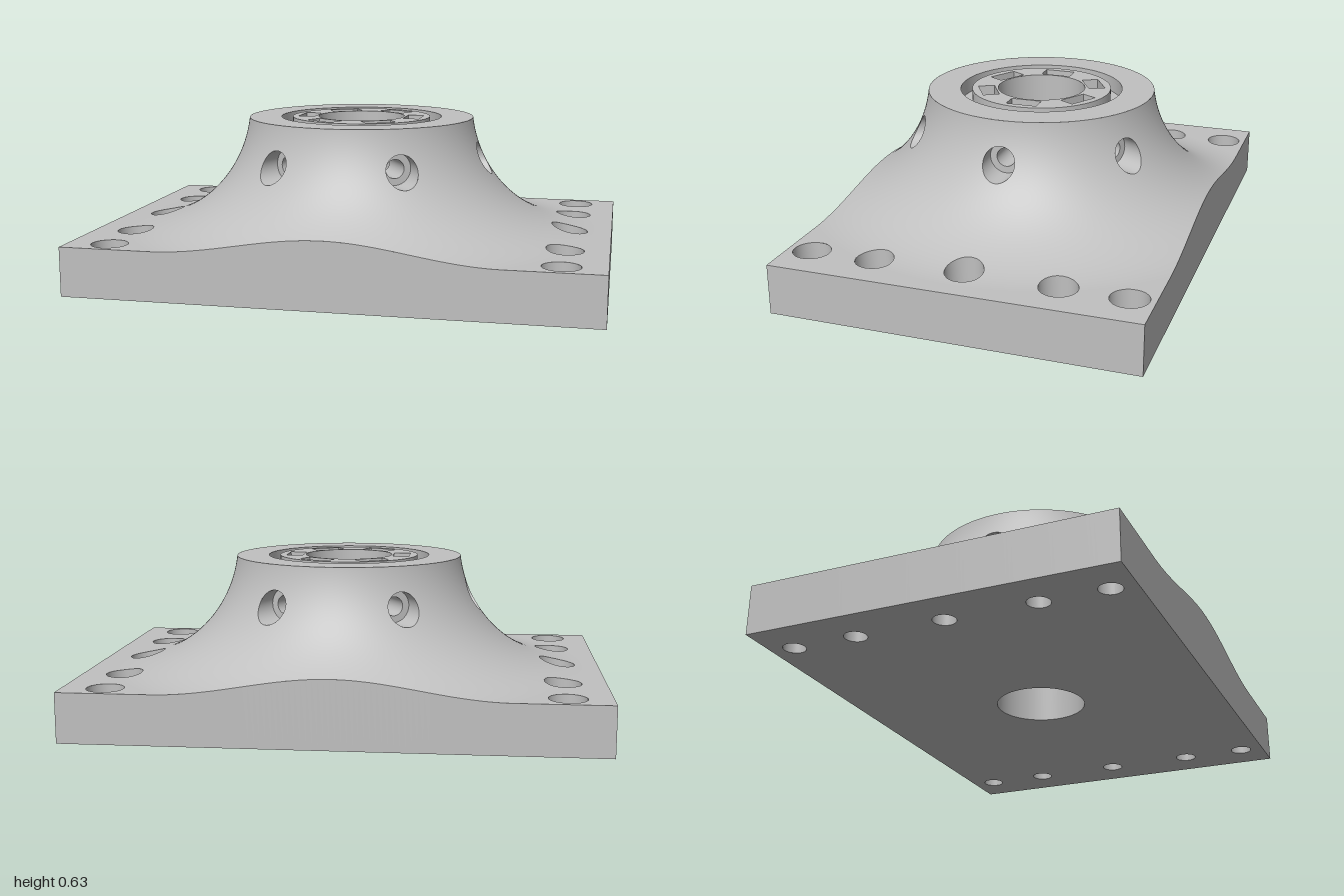
import * as THREE from 'three';

const HX = 1, HZ = 0.687, PLATE = 0.19;            // plate half sizes and thickness
const RHO = 0.5, CX = 0.943, CY = PLATE + RHO;      // fillet arc
const R_TOP = 0.447, BORE = 0.172;
const TOP = CY - Math.sqrt(RHO ** 2 - (CX - R_TOP) ** 2);
const BOLT_R = 0.07, BOLT_HOLE = 0.042, BOLT_FLOOR = 0.1;
const SIDE_Y = 0.472, SIDE_R = 0.062, SIDE_HOLE = 0.036, SIDE_FLOOR = 0.41;
const SLOT = { x0: 0.18, x1: 0.244, z: 0.06, y: 0.41 };
const TAU = Math.PI * 2;

const bolts = [];
for (const x of [-0.838, 0.838]) for (const z of [-0.595, -0.345, 0, 0.345, 0.595]) bolts.push([x, z]);

// height of the upper surface at a distance r from the axis, and the reverse
const height = r => r >= CX ? PLATE : CY - Math.sqrt(RHO ** 2 - (CX - r) ** 2);
const radiusAt = y => CX - Math.sqrt(RHO ** 2 - (CY - y) ** 2);

export function createModel() {
  const model = new THREE.Group();
  model.name = 'flangedHub';
  const grey = new THREE.MeshStandardMaterial({ color: 0xc0c0c0, side: THREE.DoubleSide });
  grey.name = 'plain grey';

  const add = (name, geometry, parent = model) => {
    const mesh = new THREE.Mesh(geometry, grey);
    mesh.name = name;
    parent.add(mesh);
    return mesh;
  };

  // strip between two curves a(u) and b(u)
  const loft = (n, a, b) => {
    const pos = [], index = [];
    for (let i = 0; i <= n; i++) {
      pos.push(...a(i / n), ...b(i / n));
      if (i < n) { const k = 2 * i; index.push(k, k + 2, k + 1, k + 2, k + 3, k + 1); }
    }
    const g = new THREE.BufferGeometry();
    g.setAttribute('position', new THREE.Float32BufferAttribute(pos, 3));
    g.setIndex(index);
    g.computeVertexNormals();
    return g;
  };
  // ring of revolution about a vertical axis at (cx, cz)
  const band = (rA, yA, rB, yB, cx = 0, cz = 0, n = 96) => {
    const c = (r, y) => u => [cx + r * Math.cos(u * TAU), y, cz + r * Math.sin(u * TAU)];
    return loft(n, c(rA, yA), c(rB, yB));
  };
  // ring of revolution about the x axis at the height of the side holes
  const sideBand = (rA, xA, rB, xB) => {
    const c = (r, x) => u => {
      const y = SIDE_Y + r * Math.cos(u * TAU), z = r * Math.sin(u * TAU);
      return [typeof x === 'function' ? x(y, z) : x, y, z];
    };
    return loft(48, c(rA, xA), c(rB, xB));
  };
  const quad = (a0, a1, b0, b1) => loft(1, u => (u ? a1 : a0), u => (u ? b1 : b0));
  const circle = (x, y, r) => new THREE.Path().absarc(x, y, r, 0, TAU, true);
  const rect = (Type, x0, y0, x1, y1, angle = 0) => new Type(
    [[x0, y0], [x1, y0], [x1, y1], [x0, y1]].map(([x, y]) =>
      new THREE.Vector2(x, y).rotateAround(new THREE.Vector2(), angle)));

  add('upperSurface', upperSurface());

  // plate edges, following the fillet where it runs out
  const edge = (name, x0, z0, x1, z1) => {
    const at = u => [x0 + (x1 - x0) * u, z0 + (z1 - z0) * u];
    add(name, loft(96,
      u => { const [x, z] = at(u); return [x, 0, z]; },
      u => { const [x, z] = at(u); return [x, height(Math.hypot(x, z)), z]; }));
  };
  edge('plateFront', -HX, HZ, HX, HZ);
  edge('plateBack', HX, -HZ, -HX, -HZ);
  edge('plateLeft', HX, HZ, HX, -HZ);
  edge('plateRight', -HX, -HZ, -HX, HZ);

  // underside with its holes
  const base = rect(THREE.Shape, -HX, -HZ, HX, HZ);
  base.holes.push(circle(0, 0, BORE), ...bolts.map(([x, z]) => circle(x, z, BOLT_HOLE)));
  add('underside', new THREE.ShapeGeometry(base, 48).rotateX(Math.PI / 2));

  // counterbored bolt holes
  for (const [x, z] of bolts) {
    const hole = new THREE.Group();
    hole.name = 'boltHole';
    model.add(hole);
    const rim = (u, y) => {
      const px = x + BOLT_R * Math.cos(u * TAU), pz = z + BOLT_R * Math.sin(u * TAU);
      return [px, y ?? height(Math.hypot(px, pz)), pz];
    };
    add('counterbore', loft(48, u => rim(u, BOLT_FLOOR), u => rim(u)), hole);
    add('counterboreFloor', band(BOLT_HOLE, BOLT_FLOOR, BOLT_R, BOLT_FLOOR, x, z, 48), hole);
    add('boltShaft', band(BOLT_HOLE, 0, BOLT_HOLE, BOLT_FLOOR, x, z, 48), hole);
  }

  // hub top: outer rim, ring groove, slotted inner face and bore
  const G0 = 0.275, G1 = 0.32, GY = TOP - 0.06;
  add('hubRim', band(G1, TOP, R_TOP, TOP));
  add('grooveOuterWall', band(G1, GY, G1, TOP));
  add('grooveFloor', band(G0, GY, G1, GY));
  add('grooveInnerWall', band(G0, TOP, G0, GY));
  add('bore', band(BORE, 0, BORE, TOP));
  const face = new THREE.Shape().absarc(0, 0, G0, 0, TAU, false);
  face.holes.push(circle(0, 0, BORE));
  for (let i = 0; i < 6; i++)
    face.holes.push(rect(THREE.Path, SLOT.x0, -SLOT.z, SLOT.x1, SLOT.z, i * TAU / 6));
  add('hubInnerFace', new THREE.ShapeGeometry(face, 96).rotateX(-Math.PI / 2).translate(0, TOP, 0));

  // six radial screw holes, each ending in a nut slot
  const { x0, x1, z: w, y: b } = SLOT;
  const outerWall = rect(THREE.Shape, -w, b, w, TOP);
  outerWall.holes.push(circle(0, SIDE_Y, SIDE_HOLE));
  const parts = {
    screwCounterbore: sideBand(SIDE_R, (y, z) => Math.sqrt(radiusAt(y) ** 2 - z * z), SIDE_R, SIDE_FLOOR),
    screwCounterboreFloor: sideBand(SIDE_R, SIDE_FLOOR, SIDE_HOLE, SIDE_FLOOR),
    screwShaft: sideBand(SIDE_HOLE, SIDE_FLOOR, SIDE_HOLE, x1),
    slotOuterWall: new THREE.ShapeGeometry(outerWall, 48).rotateY(-Math.PI / 2).translate(x1, 0, 0),
    slotInnerWall: quad([x0, b, w], [x0, b, -w], [x0, TOP, w], [x0, TOP, -w]),
    slotEndA: quad([x1, b, w], [x0, b, w], [x1, TOP, w], [x0, TOP, w]),
    slotEndB: quad([x0, b, -w], [x1, b, -w], [x0, TOP, -w], [x1, TOP, -w]),
    slotFloor: quad([x0, b, -w], [x0, b, w], [x1, b, -w], [x1, b, w]),
  };
  for (let i = 0; i < 6; i++) {
    const screw = new THREE.Group();
    screw.name = 'screwHoleAndSlot';
    screw.rotation.y = i * TAU / 6;
    for (const [name, g] of Object.entries(parts)) add(name, g, screw);
    model.add(screw);
  }
  return model;
}

// fillet and plate top: a polar grid trimmed by the plate outline and the holes
function upperSurface() {
  const keep = [
    ([x]) => HX - Math.abs(x),
    ([, z]) => HZ - Math.abs(z),
    ([x, z]) => Math.min(...bolts.map(([bx, bz]) => Math.hypot(x - bx, z - bz))) - BOLT_R,
    ([x, z]) => {
      const r = Math.hypot(x, z), a = Math.atan2(z, x), step = TAU / 6;
      const across = r * Math.sin(a - Math.round(a / step) * step);
      return Math.hypot(across, height(r) - SIDE_Y) - SIDE_R;
    },
  ];
  const crossing = (f, p, q) => {
    let lo = 0, hi = 1;
    const at = t => [p[0] + (q[0] - p[0]) * t, p[1] + (q[1] - p[1]) * t];
    for (let i = 0; i < 16; i++) {
      const m = (lo + hi) / 2;
      if (f(at(m)) >= 0 === f(p) >= 0) lo = m; else hi = m;
    }
    return at(lo);
  };
  const clip = (poly, f) => poly.flatMap((p, i) => {
    const q = poly[(i + 1) % poly.length], inP = f(p) >= 0, inQ = f(q) >= 0;
    return [...(inP ? [p] : []), ...(inP !== inQ ? [crossing(f, p, q)] : [])];
  });

  const radii = [], start = Math.acos((CX - R_TOP) / RHO);
  for (let i = 0; i <= 48; i++) radii.push(CX - RHO * Math.cos(start + (Math.PI / 2 - start) * i / 48));
  for (let i = 1; i <= 14; i++) radii.push(CX + 0.02 * i);

  const pos = [], nor = [], n = 288;
  const put = ([x, z]) => {
    const r = Math.hypot(x, z), y = height(r), s = Math.max(0, CX - r) / RHO;
    pos.push(x, y, z);
    nor.push(s * x / r, Math.sqrt(1 - s * s), s * z / r);
  };
  const point = (i, j) => [radii[i] * Math.cos(j * TAU / n), radii[i] * Math.sin(j * TAU / n)];
  for (let i = 0; i < radii.length - 1; i++) for (let j = 0; j < n; j++) {
    const a = point(i, j), b = point(i, j + 1), c = point(i + 1, j), d = point(i + 1, j + 1);
    for (const tri of [[a, b, c], [b, d, c]]) {
      const poly = keep.reduce(clip, tri);
      for (let k = 1; k < poly.length - 1; k++) [poly[0], poly[k], poly[k + 1]].forEach(put);
    }
  }
  const g = new THREE.BufferGeometry();
  g.setAttribute('position', new THREE.Float32BufferAttribute(pos, 3));
  g.setAttribute('normal', new THREE.Float32BufferAttribute(nor, 3));
  return g;
}
